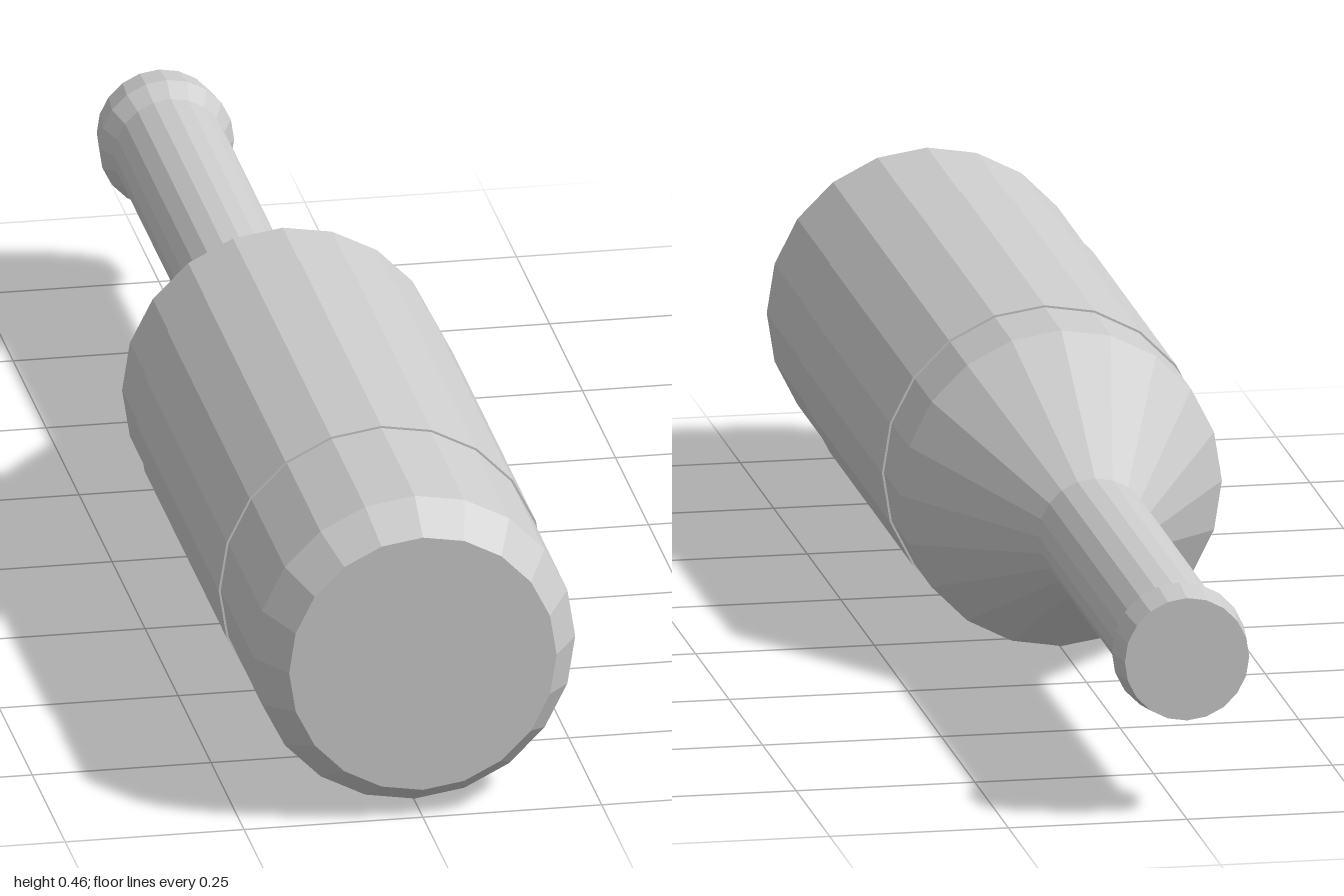
import * as THREE from 'three';

const SIDES = 20;
const AXIS_Y = 0.228; // height of the bottle's axis when lying down

export function createModel() {
  const group = new THREE.Group();
  group.name = 'bottle';

  const glass = new THREE.MeshStandardMaterial({ color: 0xcccccc, flatShading: true });
  glass.name = 'plain grey';

  // Revolves [radius, z] pairs, listed from the base (+z) to the mouth (-z)
  function revolve(name, profile) {
    const points = profile.map(([r, z]) => new THREE.Vector2(r, -z));
    const geometry = new THREE.LatheGeometry(points, SIDES).rotateX(-Math.PI / 2);
    const mesh = new THREE.Mesh(geometry, glass);
    mesh.name = name;
    mesh.position.y = AXIS_Y;
    group.add(mesh);
  }

  // Chamfered base, straight body and conical shoulder
  revolve('body', [[0, 1], [0.187, 1], [0.2245, 0.938], [0.2245, -0.063], [0.079, -0.313]]);

  // Slim neck
  revolve('neck', [[0.079, -0.313], [0.079, -0.91]]);

  // Flared lip with a closed mouth
  revolve('lip', [[0.079, -0.91], [0.0945, -0.942], [0.087, -1], [0, -1]]);

  // Label band wrapped around the body
  revolve('label', [[0.2245, 0.685], [0.2275, 0.685], [0.2275, 0.063], [0.2245, 0.063]]);

  return group;
}
